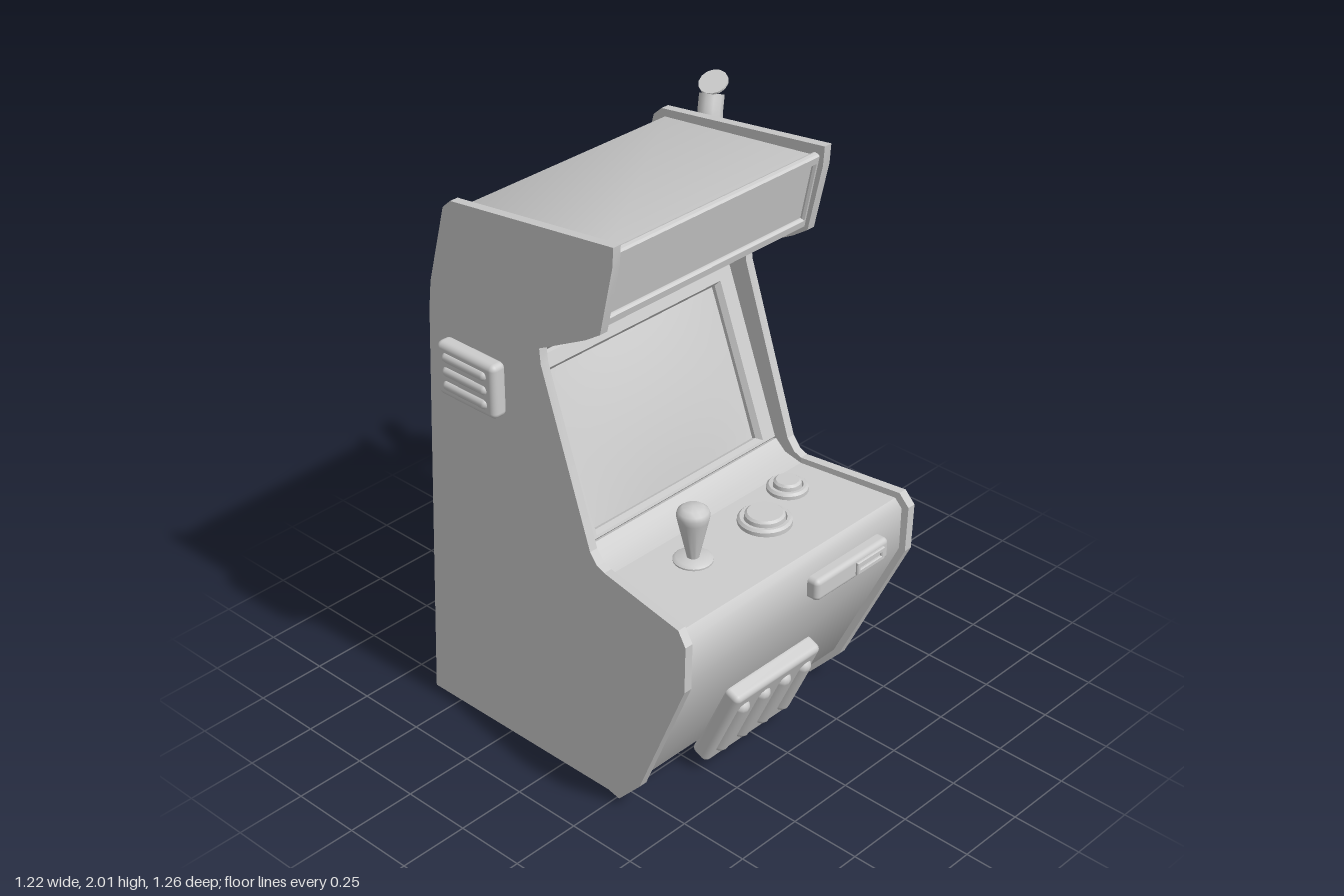
import * as THREE from 'three';
import { toCreasedNormals } from 'three/addons/utils/BufferGeometryUtils.js';
import { RoundedBoxGeometry } from 'three/addons/geometries/RoundedBoxGeometry.js';

const CX = -0.065; // cabinet centre line
const material = new THREE.MeshStandardMaterial({ color: 0xcccccc, side: THREE.DoubleSide });
const v3 = (x, y, z) => new THREE.Vector3(x, y, z);

function add(parent, name, geometry, x = 0, y = 0, z = 0) {
  const mesh = new THREE.Mesh(geometry, material);
  mesh.name = name;
  mesh.position.set(x, y, z);
  parent.add(mesh);
  return mesh;
}

function group(parent, name, x, y, z, tilt = 0) {
  const g = new THREE.Group();
  g.name = name;
  g.position.set(x, y, z);
  g.rotation.x = tilt;
  parent.add(g);
  return g;
}

// Side profile of [z, y] points spanning lo..hi in x, flaring outward toward the front
function slab(points, lo, hi, flare, crease) {
  const shape = new THREE.Shape(points.map(([z, y]) => new THREE.Vector2(z, y)));
  const geo = new THREE.ExtrudeGeometry(shape, { depth: 1, bevelEnabled: false });
  geo.rotateY(-Math.PI / 2);
  const p = geo.attributes.position;
  for (let i = 0; i < p.count; i++) {
    const x = p.getX(i) > -0.5 ? hi : lo;
    p.setX(i, x + (flare ? Math.sign(x) * Math.max(0, p.getZ(i) - 0.2) * 0.163 : 0));
  }
  return toCreasedNormals(geo, crease);
}

// Rectangular frame with a bevelled opening, front face at z = 0
function frame(w, h, holeW, holeH, holeY, depth, bevel) {
  const rect = (T, a, b, y) => {
    const s = new T();
    s.moveTo(-a / 2, y - b / 2).lineTo(a / 2, y - b / 2).lineTo(a / 2, y + b / 2).lineTo(-a / 2, y + b / 2).closePath();
    return s;
  };
  const s = rect(THREE.Shape, w, h, 0);
  s.holes.push(rect(THREE.Path, holeW, holeH, holeY));
  const geo = new THREE.ExtrudeGeometry(s, { depth, bevelThickness: bevel, bevelSize: bevel * 0.6, bevelSegments: 1 });
  return geo.translate(0, 0, -depth - bevel);
}

const lathe = (pts, sides, crease = 0.7) =>
  toCreasedNormals(new THREE.LatheGeometry(pts.map(([r, y]) => new THREE.Vector2(r, y)), sides), crease);
const tube = (pts, radius, segments = 32) =>
  new THREE.TubeGeometry(new THREE.CatmullRomCurve3(pts), segments, radius, 10);

function buildCabinet(root) {
  const cab = group(root, 'cabinet', CX, 0, 0);
  const panelFront = [[0.2, 0], [0.26, 0], [0.37, 0.12], [0.6, 0.63], [0.605, 0.8], [0.57, 0.845], [0.2, 0.85]];
  const panelRear = [[0.2, 0], [0.2, 0.85], [0.17, 0.862], [0.14, 0.9], [-0.055, 1.49], [-0.06, 1.545], [0.14, 1.65],
    [0.2, 1.69], [0.255, 1.93], [0.26, 1.997], [-0.43, 1.912], [-0.465, 1.88], [-0.54, 1.6], [-0.552, 1.5], [-0.625, 0]];
  for (const [side, lo, hi] of [['left', 0.447, 0.478], ['right', -0.478, -0.447]]) {
    add(cab, side + 'PanelFront', slab(panelFront, lo, hi, true, 0.3));
    add(cab, side + 'PanelRear', slab(panelRear, lo, hi, false, 0.3));
  }
  // Core between the panels, set in from their edges
  const coreFront = [[0.2, 0.04], [0.24, 0.04], [0.35, 0.13], [0.578, 0.635], [0.58, 0.79], [0.555, 0.822], [0.2, 0.83]];
  const coreRear = [[0.2, 0.03], [0.2, 0.83], [0.13, 0.845], [0.09, 0.88], [0.045, 0.865], [-0.175, 1.44], [-0.13, 1.475],
    [-0.09, 1.52], [0.12, 1.66], [0.165, 1.7], [0.215, 1.955], [-0.415, 1.887], [-0.45, 1.86], [-0.515, 1.59],
    [-0.53, 1.5], [-0.602, 0.03]];
  add(cab, 'lowerFront', slab(coreFront, -0.46, 0.46, true, 0.75));
  add(cab, 'body', slab(coreRear, -0.46, 0.46, false, 0.6));

  // Recessed, slightly domed screen
  const screen = group(cab, 'screen', 0, 1.1725, -0.0225, -0.358);
  add(screen, 'screenBezel', frame(0.91, 0.614, 0.78, 0.56, -0.018, 0.03, 0.02));
  const glass = new THREE.PlaneGeometry(0.79, 0.57, 12, 12);
  const p = glass.attributes.position;
  for (let i = 0; i < p.count; i++) {
    const u = p.getX(i) / 0.395, v = p.getY(i) / 0.285;
    p.setZ(i, 0.022 * (1 - u * u) * (1 - v * v));
  }
  glass.computeVertexNormals();
  add(screen, 'screenGlass', glass, 0, -0.018, -0.035);

  // Header sign with raised frame
  const sign = group(cab, 'headerSign', 0, 1.828, 0.214, 0.205);
  add(sign, 'signFrame', frame(0.91, 0.264, 0.88, 0.215, 0, 0.012, 0.008));
  add(sign, 'signPanel', new THREE.BoxGeometry(0.9, 0.23, 0.01), 0, 0, -0.019);
}

function buildControls(root) {
  add(root, 'joystickBase', lathe([[0, 0.012], [0.055, 0.012], [0.065, 0.004], [0.065, -0.01]].reverse(), 24), -0.275, 0.828, 0.325);
  add(root, 'joystick', lathe([[0.018, 0], [0.022, 0.02], [0.05, 0.145], [0.054, 0.165], [0.05, 0.18], [0.035, 0.192], [0, 0.196]], 20, 1),
    -0.275, 0.83, 0.325);
  for (const [name, x, z, r] of [['largeButton', 0.04, 0.345, 0.09], ['smallButton', 0.235, 0.27, 0.07]]) {
    add(root, name, lathe([[r, -0.01], [r, 0.012], [r - 0.008, 0.02], [r - 0.018, 0.02], [r - 0.022, 0.012],
      [r - 0.024, 0.03], [r - 0.032, 0.037], [0, 0.037]], 24), x, 0.828, z);
  }
  // Coin slot plate
  add(root, 'coinPlate', new RoundedBoxGeometry(0.355, 0.08, 0.06, 3, 0.018), 0.157, 0.71, 0.592);
  add(root, 'coinSlot', frame(0.13, 0.04, 0.11, 0.018, 0, 0.008, 0.004), 0.235, 0.71, 0.631);
}

// Rounded plate with raised ribs along its local y
function buildVent(parent, w, h, depth, count, spacing, ribLength, ribRadius) {
  add(parent, 'ventPlate', new RoundedBoxGeometry(w, h, depth, 3, 0.02));
  for (let i = 0; i < count; i++) {
    add(parent, 'ventRib', new THREE.CapsuleGeometry(ribRadius, ribLength - 2 * ribRadius, 5, 12),
      (i - (count - 1) / 2) * spacing, 0, depth / 2 - ribRadius * 0.35);
  }
}

function buildExhaust(root) {
  const g = group(root, 'exhaust', 0.51, 0, -0.335);
  add(g, 'canister', lathe([[0, 1.44], [0.065, 1.44], [0.074, 1.455], [0.074, 1.49], [0.062, 1.5], [0.062, 1.515],
    [0.078, 1.52], [0.08, 1.545], [0.068, 1.56], [0.068, 1.635], [0.075, 1.645], [0.1, 1.71], [0.1, 1.785],
    [0.085, 1.8], [0, 1.8]], 10));
  // Clamp wrapping the canister and fixed to the side panel
  add(g, 'clamp', tube([[-0.11, 0.1], [-0.08, 0.1], [-0.04, 0.078], [0.03, 0.075], [0.08, 0], [0.03, -0.075],
    [-0.04, -0.078], [-0.08, -0.1], [-0.11, -0.1]].map(([x, z]) => v3(x, 1.575, z)), 0.026, 48));
  for (const z of [-0.105, 0.105]) add(g, 'clampFoot', new THREE.SphereGeometry(0.03, 12, 8), -0.09, 1.575, z);
  // Bent outlet with flap
  add(g, 'outletPipe', tube([v3(-0.01, 1.78, 0.015), v3(-0.015, 1.83, 0.015), v3(-0.005, 1.88, 0.005), v3(0.02, 1.94, -0.01)], 0.042, 10));
  const flap = add(g, 'outletFlap', new THREE.CylinderGeometry(0.05, 0.05, 0.008, 14), 0.027, 1.978, -0.01);
  flap.rotation.set(0.12, 0, 0.5);
  add(g, 'outletMouth', new THREE.CylinderGeometry(0.04, 0.04, 0.006, 12), 0.018, 1.936, -0.009).rotation.set(-0.2, 0, -0.4);
  // Feed hose curling back into the side
  add(g, 'hose', tube([v3(0, 1.45, 0), v3(0, 1.39, 0), v3(0.015, 1.345, 0), v3(0.06, 1.305, 0), v3(0.068, 1.26, 0),
    v3(0.04, 1.222, 0), v3(-0.01, 1.216, 0), v3(-0.06, 1.242, 0), v3(-0.1, 1.248, 0)], 0.021, 48));
  add(g, 'hoseFlange', new THREE.CylinderGeometry(0.035, 0.035, 0.025, 12), -0.09, 1.247, 0).rotation.z = Math.PI / 2;
}

export function createModel() {
  const root = new THREE.Group();
  root.name = 'arcadeCabinet';
  buildCabinet(root);
  buildControls(root);
  buildVent(group(root, 'frontVent', CX, 0.218, 0.415, 0.42), 0.41, 0.36, 0.07, 4, 0.1, 0.27, 0.03);
  const sideVent = group(root, 'sideVent', -0.565, 1.34, -0.345);
  sideVent.rotation.set(0, -Math.PI / 2, Math.PI / 2, 'YXZ');
  buildVent(sideVent, 0.19, 0.26, 0.06, 3, 0.05, 0.2, 0.018);
  buildExhaust(root);
  return root;
}
